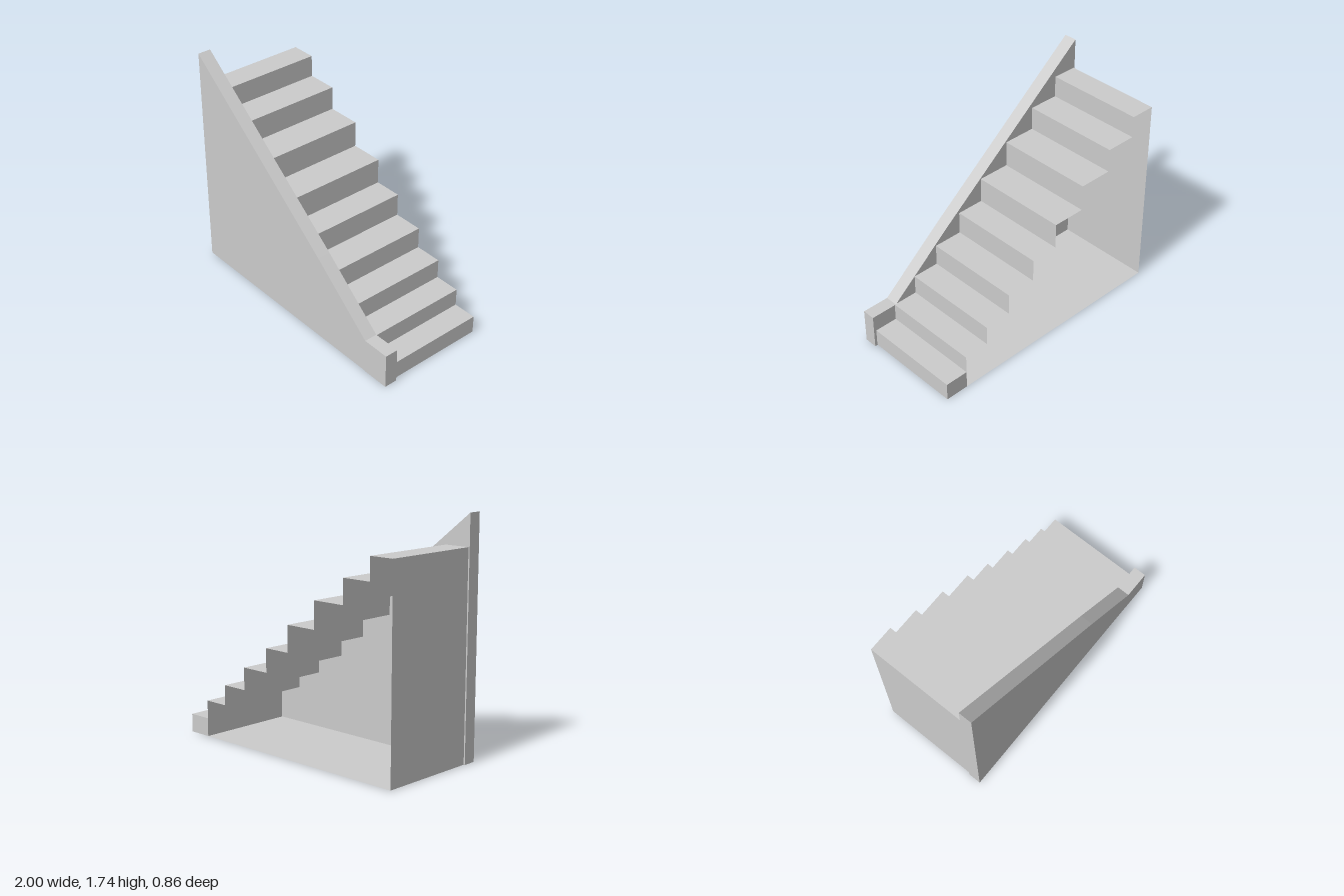
import * as THREE from 'three';

const BACK = -0.43, INNER = 0.33, FRONT = 0.43;

// Thin open sheet swept along z from a list of [x, y] profile points.
function sheet(name, points, material) {
  const pos = [];
  for (let i = 0; i < points.length - 1; i++) {
    const [ax, ay] = points[i], [bx, by] = points[i + 1];
    pos.push(ax, ay, INNER, bx, by, INNER, bx, by, BACK);
    pos.push(ax, ay, INNER, bx, by, BACK, ax, ay, BACK);
  }
  const geometry = new THREE.BufferGeometry();
  geometry.setAttribute('position', new THREE.Float32BufferAttribute(pos, 3));
  geometry.computeVertexNormals();
  const mesh = new THREE.Mesh(geometry, material);
  mesh.name = name;
  return mesh;
}

export function createModel() {
  const group = new THREE.Group();
  group.name = 'staircase';
  const solid = new THREE.MeshStandardMaterial({ color: 0xcccccc, flatShading: true });
  const thin = new THREE.MeshStandardMaterial({ color: 0xcccccc, flatShading: true, side: THREE.DoubleSide });

  // Riser positions from bottom to top, and the tread heights
  const xs = [0.98, 0.8, 0.605, 0.395, 0.165, -0.05, -0.305, -0.565, -0.8, -0.99];
  const ys = [0.14, 0.275, 0.425, 0.59, 0.765, 0.96, 1.16, 1.34, 1.505];
  const floorY = 0.004;

  // Solid bottom step
  const bottomStep = new THREE.Mesh(
    new THREE.BoxGeometry(xs[0] - xs[1], ys[0] - floorY, INNER - BACK), solid);
  bottomStep.position.set((xs[0] + xs[1]) / 2, (ys[0] + floorY) / 2, (INNER + BACK) / 2);
  bottomStep.name = 'bottomStep';
  group.add(bottomStep);

  // Folded risers and treads, open underneath
  const steps = [[xs[1], ys[0]]];
  for (let i = 1; i < ys.length; i++) steps.push([xs[i], ys[i]], [xs[i + 1], ys[i]]);
  group.add(sheet('steps', steps, thin));

  // End wall and floor of the hollow under the stairs
  group.add(sheet('endWall', [[xs[9], ys[8]], [xs[9], floorY]], thin));
  group.add(sheet('floor', [[xs[9], floorY], [xs[1], floorY]], thin));

  // Sloping side wall with its low post at the foot
  const outline = new THREE.Shape([
    [-1, floorY], [0.79, floorY], [0.79, 0], [1, 0], [1, 0.27], [0.79, 0.27], [0.3, 0.685], [-1, 1.735],
  ].map(([x, y]) => new THREE.Vector2(x, y)));
  const wall = new THREE.Mesh(
    new THREE.ExtrudeGeometry(outline, { depth: FRONT - INNER, bevelEnabled: false }), solid);
  wall.position.z = INNER;
  wall.name = 'sideWall';
  group.add(wall);

  return group;
}
